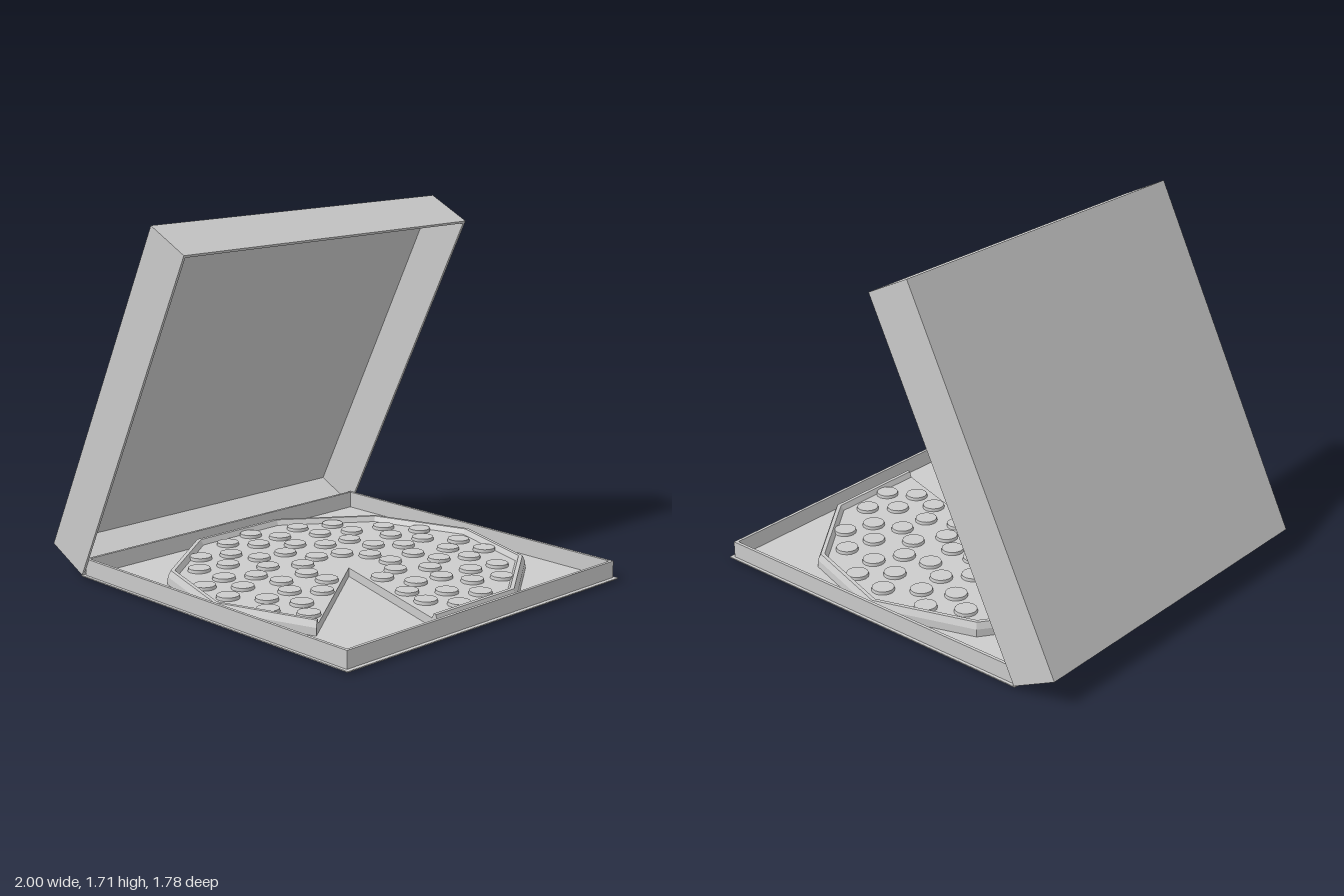
import * as THREE from 'three';

const grey = new THREE.MeshStandardMaterial({ color: 0xcccccc, flatShading: true, side: THREE.DoubleSide });
const smooth = new THREE.MeshStandardMaterial({ color: 0xcccccc });
const deg = Math.PI / 180;

function mesh(name, geometry, parent, material = grey) {
  const m = new THREE.Mesh(geometry, material);
  m.name = name;
  parent.add(m);
  return m;
}

// Box given by its minimum and maximum corners
function slab(name, min, max, parent) {
  const size = max.map((v, i) => v - min[i]);
  const m = mesh(name, new THREE.BoxGeometry(...size), parent);
  m.position.set(...max.map((v, i) => (v + min[i]) / 2));
  return m;
}

// Four walls around a rectangle, open above and below
function walls(name, x0, x1, z, y0, y1, t, parent) {
  slab(name + 'Hinge', [x0, y0, -z], [x0 + t, y1, z], parent);
  slab(name + 'Far', [x1 - t, y0, -z], [x1, y1, z], parent);
  for (const s of [-1, 1]) {
    const a = s * z, b = s * (z - t);
    slab(name + (s > 0 ? 'Front' : 'Back'), [x0 + t, y0, Math.min(a, b)], [x1 - t, y1, Math.max(a, b)], parent);
  }
}

function createTray() {
  const tray = new THREE.Group();
  tray.name = 'tray';
  slab('trayBottom', [-0.75, 0, -0.855], [0.965, 0.009, 0.855], tray);
  slab('trayFlange', [-0.785, 0.009, -0.89], [1, 0.014, 0.89], tray);
  walls('trayWall', -0.77, 0.98, 0.875, 0.014, 0.095, 0.015, tray);
  return tray;
}

// Deep lid, tilted open about the hinge
function createLid() {
  const lid = new THREE.Group();
  lid.name = 'lid';
  const length = 1.776, depth = 0.245, t = 0.012;
  slab('lidPanel', [0, depth - t, -0.89], [length, depth, 0.89], lid);
  walls('lidWall', 0, length, 0.89, 0, depth - t, t, lid);
  lid.position.set(-0.78, 0.015, 0);
  lid.rotation.z = 63.6 * deg;
  return lid;
}

// Ten-sided pizza with one slice taken out
function createPizza() {
  const pizza = new THREE.Group();
  pizza.name = 'pizza';
  const top = 0.055;
  const profile = [
    [0, 0.011], [0.85, 0.011], [0.848, 0.05], [0.834, 0.08], [0.815, 0.08], [0.8, top], [0, top],
  ].map(([r, y]) => new THREE.Vector2(r, y));
  mesh('crustAndBase', new THREE.LatheGeometry(profile, 9, 72 * deg, 324 * deg), pizza);

  // Cut faces on both sides of the gap
  for (const angle of [18, 54]) {
    const cut = mesh('cutFace', new THREE.ShapeGeometry(new THREE.Shape(profile)), pizza);
    cut.rotation.y = -angle * deg;
  }

  // Toppings: the same scatter of [radius, angle] on each remaining slice
  const scatter = [[0.22, 0], [0.38, -9], [0.45, 9], [0.57, -6], [0.6, 10], [0.7, -13], [0.72, 2]];
  const disc = new THREE.CylinderGeometry(0.052, 0.055, 0.018, 16);
  for (let slice = 1; slice < 10; slice++) {
    for (const [r, offset] of scatter) {
      const a = (36 + slice * 36 + offset) * deg;
      const topping = mesh('topping', disc, pizza, smooth);
      topping.position.set(r * Math.cos(a), top + 0.006, r * Math.sin(a));
    }
  }
  pizza.position.x = 0.105;
  return pizza;
}

export function createModel() {
  const model = new THREE.Group();
  model.name = 'pizzaBox';
  model.add(createTray(), createLid(), createPizza());
  return model;
}
